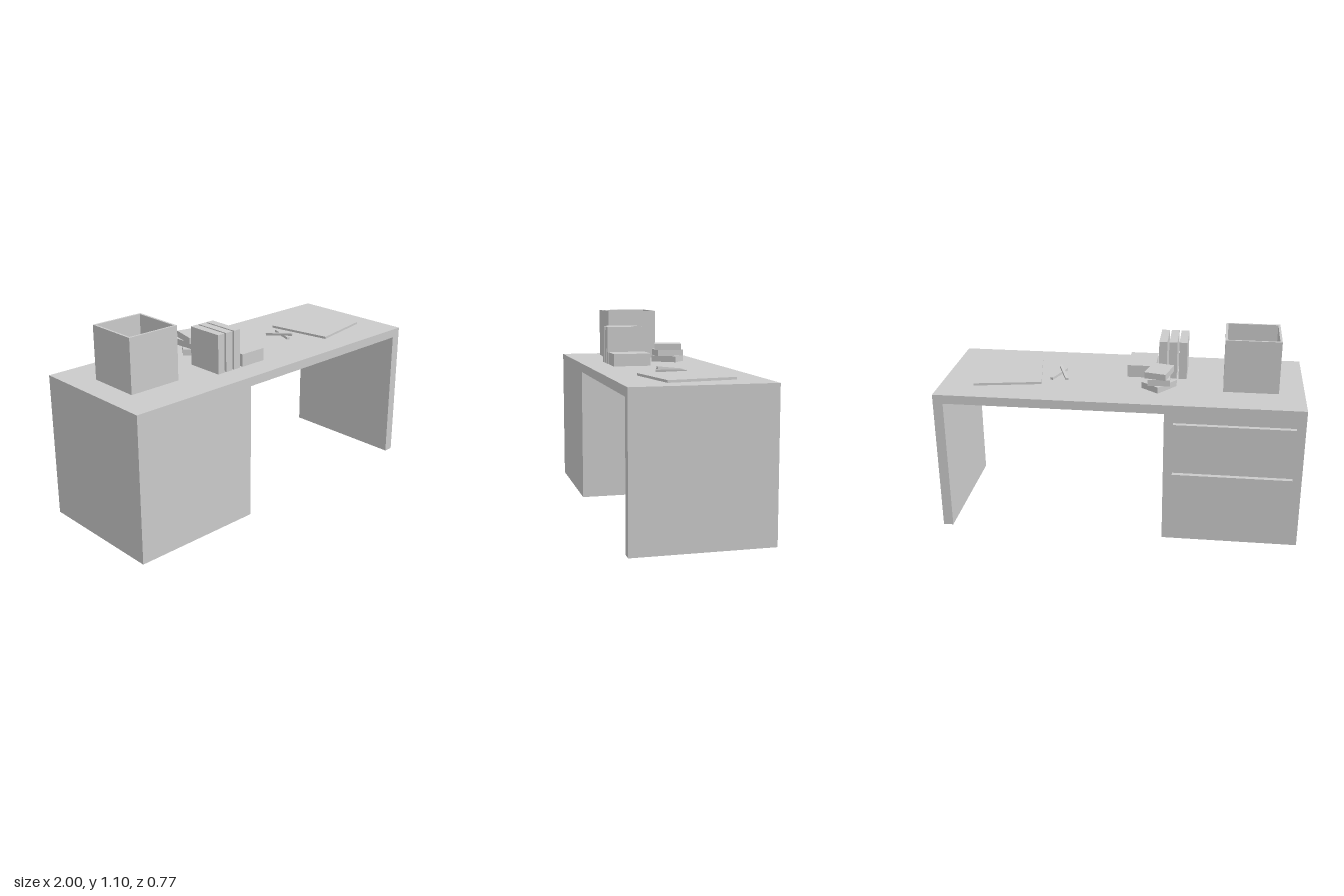
import * as THREE from 'three';

const grey = new THREE.MeshStandardMaterial({ color: 0xcccccc, flatShading: true });

// Box given by its min/max extent on each axis
function block(name, [x0, x1], [y0, y1], [z0, z1]) {
  const m = new THREE.Mesh(new THREE.BoxGeometry(x1 - x0, y1 - y0, z1 - z0), grey);
  m.position.set((x0 + x1) / 2, (y0 + y1) / 2, (z0 + z1) / 2);
  m.name = name;
  return m;
}

// Box given by centre and size, turned about the vertical axis
function turned(name, size, pos, angle, tilt = 0) {
  const m = new THREE.Mesh(new THREE.BoxGeometry(...size), grey);
  m.position.set(...pos);
  m.rotation.set(tilt, angle, 0, 'YXZ');
  m.name = name;
  return m;
}

const rect = (Type, x0, x1, y0, y1) => new Type(
  [[x0, y0], [x1, y0], [x1, y1], [x0, y1]].map(p => new THREE.Vector2(...p)));

export function createModel() {
  const model = new THREE.Group();
  model.name = 'desk';
  const top = 0.805;

  // Desk body: cabinet, top and side leg in one profile
  const profile = new THREE.Shape([[-1, 0], [-0.255, 0], [-0.255, 0.755], [0.945, 0.755],
    [0.945, 0], [1, 0], [1, top], [-1, top]].map(p => new THREE.Vector2(...p)));
  const body = new THREE.Mesh(
    new THREE.ExtrudeGeometry(profile, { depth: 0.745, bevelEnabled: false }), grey);
  body.position.z = -0.36;
  body.name = 'deskBody';
  model.add(body);

  // Drawer fronts
  for (const y of [[0.15, 0.41], [0.455, 0.705]])
    model.add(block('drawerFront', [-0.95, -0.305], y, [-0.385, -0.36]));

  // Open square bin: four walls and a floor
  const bin = new THREE.Group();
  bin.name = 'bin';
  const ring = rect(THREE.Shape, -0.15, 0.15, -0.15, 0.15);
  ring.holes.push(rect(THREE.Path, -0.138, 0.138, -0.138, 0.138));
  const walls = new THREE.Mesh(
    new THREE.ExtrudeGeometry(ring, { depth: 0.295, bevelEnabled: false }), grey);
  walls.rotation.x = -Math.PI / 2;
  walls.name = 'binWalls';
  bin.add(walls, block('binFloor', [-0.138, 0.138], [0, 0.012], [-0.138, 0.138]));
  bin.position.set(-0.71, top, 0.012);
  model.add(bin);

  // Upright books and the one lying beside them
  for (const x of [[-0.353, -0.308], [-0.297, -0.252], [-0.241, -0.196]])
    model.add(block('uprightBook', x, [top, 1.02], [0.025, 0.24]));
  model.add(block('lyingBook', [-0.178, -0.02], [top, 0.875], [0.025, 0.24]));

  // Stack of small books, each turned differently
  [-0.66, 0.04, -0.24].forEach((angle, i) => model.add(
    turned('stackedBook', [0.12, 0.035, 0.155], [-0.21, 0.83 + i * 0.0358, -0.125], angle)));

  // Writing pad
  model.add(turned('writingPad', [0.374, 0.013, 0.374], [0.658, 0.812, 0.01], 0.172));

  // Crossed pencils, one resting on the other
  model.add(turned('flatPencil', [0.016, 0.014, 0.165], [0.37, 0.812, 0.008], -0.36));
  model.add(turned('leaningPencil', [0.016, 0.014, 0.165], [0.342, 0.821, 0.01], 0.38, -0.12));

  return model;
}
